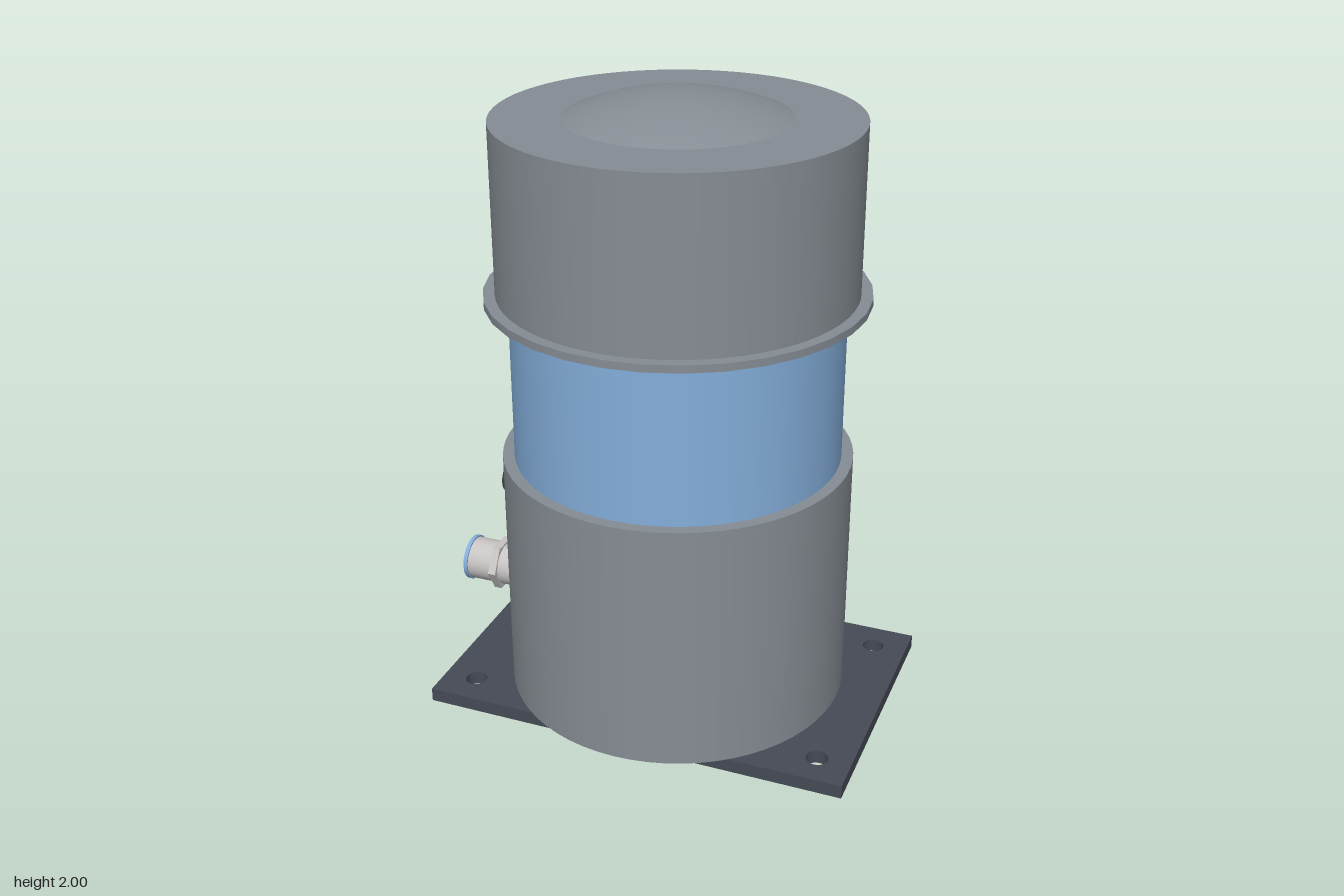
import * as THREE from 'three';

const mat = (name, color) => {
  const m = new THREE.MeshStandardMaterial({ color });
  m.name = name;
  return m;
};

export function createModel() {
  const model = new THREE.Group();
  model.name = 'beacon';
  const grey = mat('housing grey', 0x868d94);
  const blue = mat('lens blue', 0x84aedb);
  const dark = mat('plate dark grey', 0x464b55);
  const metal = mat('connector metal', 0xc8c4c4);
  const black = mat('plug black', 0x3c3f43);

  const add = (name, geometry, material, parent = model) => {
    const mesh = new THREE.Mesh(geometry, material);
    mesh.name = name;
    parent.add(mesh);
    return mesh;
  };

  // Upright cylinder from y0 to y1
  const drum = (name, r, y0, y1, material, sides = 64) =>
    add(name, new THREE.CylinderGeometry(r, r, y1 - y0, sides).translate(0, (y0 + y1) / 2, 0), material);

  // Cylinder lying along x, from x0 (outer end) to x1
  const rod = (name, r, x0, x1, material, parent, sides = 32) => {
    let g = new THREE.CylinderGeometry(r, r, x1 - x0, sides).rotateZ(Math.PI / 2);
    g.translate((x0 + x1) / 2, 0, 0);
    if (sides < 8) {
      g = g.toNonIndexed();
      g.computeVertexNormals();
    }
    return add(name, g, material, parent);
  };

  // Mounting plate with four bolt holes
  const outline = new THREE.Shape();
  outline.moveTo(-0.7, -0.44).lineTo(0.7, -0.44).lineTo(0.7, 0.44).lineTo(-0.7, 0.44).closePath();
  for (const sx of [-1, 1]) for (const sz of [-1, 1]) {
    const hole = new THREE.Path();
    hole.absarc(sx * 0.59, sz * 0.333, 0.035, 0, Math.PI * 2, true);
    outline.holes.push(hole);
  }
  const plate = new THREE.ExtrudeGeometry(outline, { depth: 0.045, bevelEnabled: false, curveSegments: 24 });
  add('basePlate', plate.rotateX(-Math.PI / 2), dark);

  // Stacked body
  drum('lowerHousing', 0.553, 0.045, 0.86, grey);
  drum('lens', 0.516, 0.85, 1.385, blue);
  drum('flange', 0.59, 1.378, 1.402, grey, 32);
  drum('upperHousing', 0.553, 1.4, 1.93, grey);

  // Shallow dome on the lid
  const radius = 0.34, rise = 0.07;
  const R = (radius * radius + rise * rise) / (2 * rise);
  const cap = new THREE.SphereGeometry(R, 48, 8, 0, Math.PI * 2, 0, Math.asin(radius / R));
  add('dome', cap.translate(0, 2 - R, 0), grey);

  // Two cable connectors on the right side, each with its own ring colour
  for (const [name, z, ringMaterial] of [['frontConnector', 0.185, blue], ['backConnector', -0.185, black]]) {
    const connector = new THREE.Group();
    connector.name = name;
    connector.position.set(0, 0.42, z);
    model.add(connector);
    rod('connectorBody', 0.068, -0.645, -0.47, metal, connector);
    rod('hexNut', 0.085, -0.56, -0.535, metal, connector, 6);
    rod('endRing', 0.073, -0.656, -0.643, ringMaterial, connector);
    rod('endDisc', 0.061, -0.658, -0.65, metal, connector);
  }

  // Plug between and above the connectors
  rod('ventPlug', 0.05, -0.608, -0.53, black, model).position.y = 0.64;

  return model;
}
